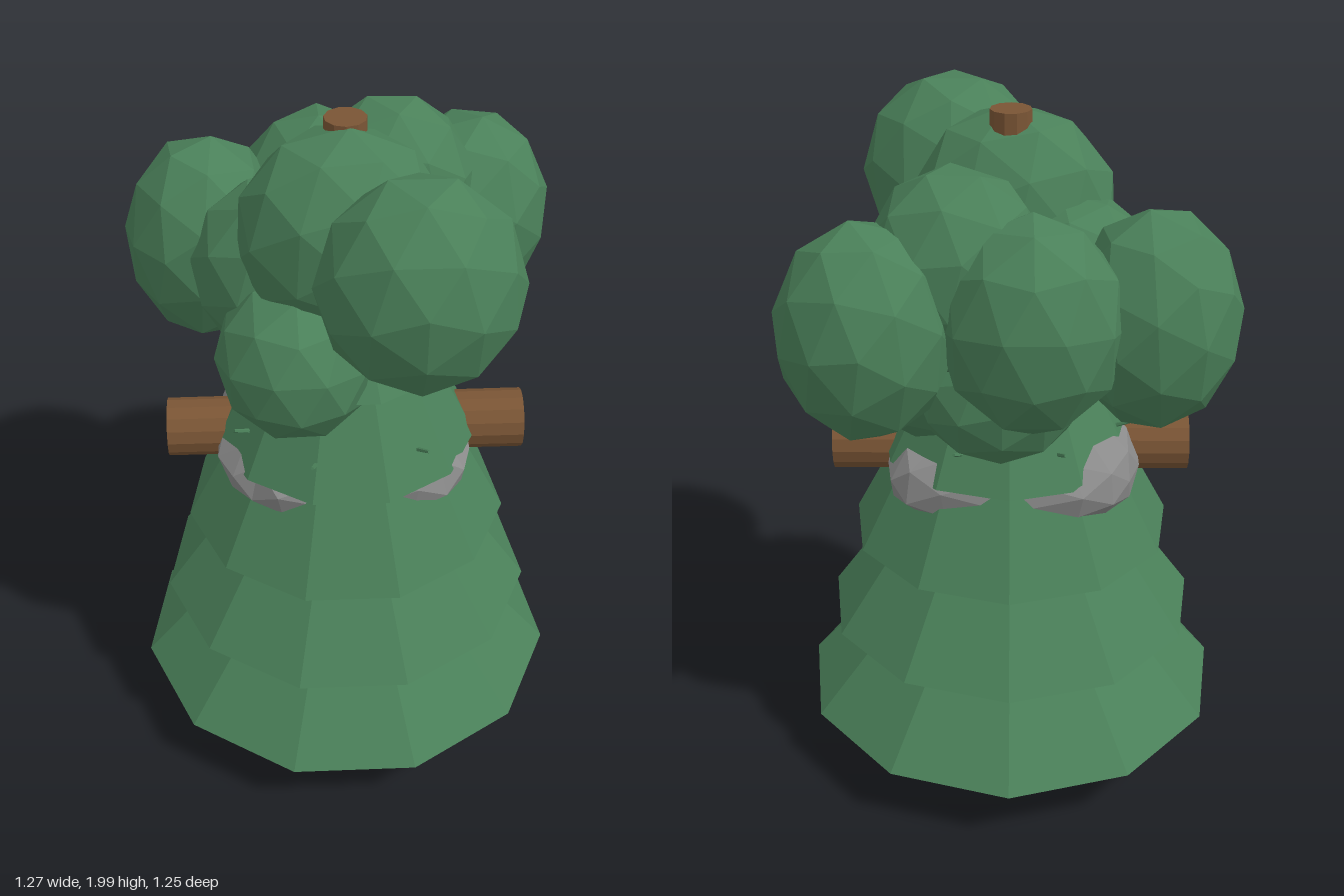
import * as THREE from 'three';

export function createModel() {
  const model = new THREE.Group();
  const material = (name, color) => {
    const m = new THREE.MeshStandardMaterial({ color, flatShading: true });
    m.name = name;
    return m;
  };
  const leaf = material('leaf green', 0x4a8059);
  const bark = material('bark brown', 0x7a5535);
  const stone = material('stone grey', 0x8b8b8b);

  const add = (name, geometry, mat, x = 0, y = 0, z = 0) => {
    const mesh = new THREE.Mesh(geometry, mat);
    mesh.name = name;
    mesh.position.set(x, y, z);
    model.add(mesh);
    return mesh;
  };

  // Conifer trunk, with its tip showing above the canopy
  add('coniferTrunk', new THREE.CylinderGeometry(0.057, 0.108, 1.98, 11), bark, 0, 1.003, 0.01);
  // Trunk of the round-crowned tree
  add('broadleafTrunk', new THREE.CylinderGeometry(0.09, 0.128, 1.3, 12), bark, 0.015, 0.65, -0.095);
  // Log lying through the middle
  add('log', new THREE.CylinderGeometry(0.085, 0.087, 1.04, 14).rotateZ(Math.PI / 2), bark, 0, 1.003, 0);

  // Conifer tiers: base height, base radius, cone height
  const tiers = [
    [0.176, 0.64, 0.72],
    [0.453, 0.558, 0.78],
    [0.73, 0.477, 0.9],
    [1.006, 0.38, 0.74],
    [1.286, 0.295, 0.42],
  ];
  tiers.forEach(([y, r, h], i) => {
    const tier = add(`coniferTier${i + 1}`, new THREE.ConeGeometry(r, h, 11), leaf, 0, y + h / 2, 0.01);
    tier.rotation.y = Math.PI;
  });

  // Crown clumps: centre, then radii
  const clumps = [
    [0.17, 1.71, 0.37, 0.27, 0.295, 0.235],
    [-0.385, 1.5, -0.25, 0.235, 0.31, 0.235],
    [0.375, 1.51, -0.365, 0.24, 0.3, 0.24],
    [-0.06, 1.53, -0.37, 0.25, 0.3, 0.23],
    [0.14, 1.63, -0.25, 0.25, 0.29, 0.215],
    [0.21, 1.35, -0.1, 0.25, 0.28, 0.22],
    [-0.14, 1.36, 0.155, 0.225, 0.235, 0.24],
    [-0.01, 1.69, 0.07, 0.29, 0.3, 0.235],
    [-0.18, 1.51, -0.06, 0.25, 0.27, 0.23],
    [0.03, 1.28, -0.24, 0.23, 0.2, 0.2],
    [0.1, 1.53, 0.09, 0.25, 0.23, 0.25],
  ];
  clumps.forEach(([x, y, z, rx, ry, rz], i) => {
    const g = new THREE.IcosahedronGeometry(1, 1);
    g.rotateX(i * 1.3 + 0.4).rotateY(i * 2.1).scale(rx, ry, rz);
    add(`crownClump${i + 1}`, g, leaf, x, y, z);
  });

  // Blocky boulder below the fourth tier, with two humps breaking through it at the back
  const rock = new THREE.IcosahedronGeometry(1, 2);
  const p = rock.attributes.position;
  const square = (v) => Math.sign(v) * Math.pow(Math.abs(v), 0.6);
  for (let i = 0; i < p.count; i++) {
    const x = p.getX(i), y = p.getY(i), z = p.getZ(i);
    const up = Math.max(0, y);
    const hump = Math.min(1, Math.max(0, -0.9 * x - 0.44 * z) ** 4 + 0.8 * Math.max(0, 0.4 * x - 0.92 * z) ** 8);
    const spread = 1 - 0.4 * up * (1 - hump) + 0.03 * Math.sin(x * 5 + z * 3);
    const height = 0.13 + 0.08 * hump * up + 0.012 * Math.sin(z * 7 + x * 4);
    p.setXYZ(i, square(x) * 0.368 * spread, square(y) * height, square(z) * 0.332 * spread);
  }
  add('boulder', rock, stone, 0, 0.99, 0);

  // Short twigs poking out around the fourth tier
  for (const deg of [-62, -17, 37, 100, 155, 205, 250]) {
    const a = THREE.MathUtils.degToRad(deg);
    const twig = add('twig', new THREE.CylinderGeometry(0.005, 0.007, 0.06, 5).rotateX(Math.PI / 2 - 0.4),
      leaf, Math.sin(a) * 0.335, 1.11, Math.cos(a) * 0.335 + 0.01);
    twig.rotation.y = a;
  }

  return model;
}
